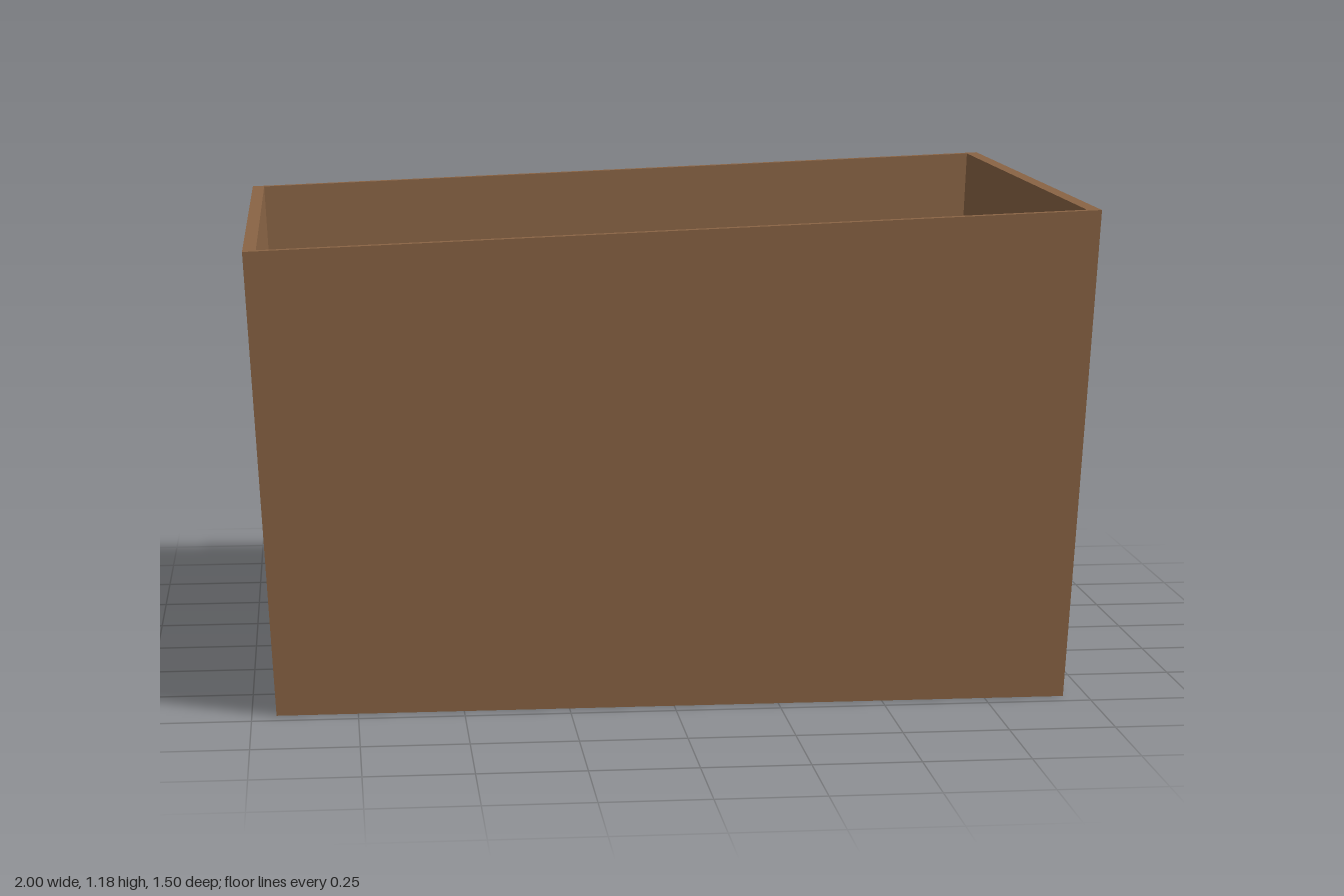
import * as THREE from 'three';

const HALF_X = 1, HALF_Z = 0.75;      // outer half sizes at the rim
const END_T = 0.031, SIDE_T = 0.022;  // wall thicknesses
const FLOOR_T = 0.04;                 // as a fraction of the height

// Straight box (y from 0 to 1) -> tapered box with a sloping rim
function warp(geometry) {
  const p = geometry.attributes.position;
  for (let i = 0; i < p.count; i++) {
    const x = p.getX(i), y = p.getY(i), z = p.getZ(i);
    p.setXYZ(i,
      x * THREE.MathUtils.lerp(0.942, 1, y),
      y * (1.1425 + 0.0375 * x),
      z * THREE.MathUtils.lerp(0.94, 1, y));
  }
  geometry.computeVertexNormals();
  return geometry;
}

// End panel with a rounded handle slot
function endPanel(side) {
  const shape = new THREE.Shape();
  shape.moveTo(-HALF_Z, 0);
  shape.lineTo(HALF_Z, 0);
  shape.lineTo(HALF_Z, 1);
  shape.lineTo(-HALF_Z, 1);
  shape.closePath();

  const slot = new THREE.Path();
  const half = 0.122, cy = 0.75, rx = 0.091, ry = 0.076;
  slot.absellipse(half, cy, rx, ry, -Math.PI / 2, Math.PI / 2, false);
  slot.absellipse(-half, cy, rx, ry, Math.PI / 2, Math.PI * 1.5, false);
  slot.closePath();
  shape.holes.push(slot);

  const g = new THREE.ExtrudeGeometry(shape, { depth: END_T, bevelEnabled: false, curveSegments: 3 });
  g.rotateY(side * Math.PI / 2);
  g.translate(side * (HALF_X - END_T), 0, 0);
  return warp(g);
}

export function createModel() {
  const model = new THREE.Group();
  model.name = 'storageBin';
  const brown = new THREE.MeshStandardMaterial({ color: 0x8b6545 });
  brown.name = 'brown';

  const add = (name, geometry) => {
    const mesh = new THREE.Mesh(geometry, brown);
    mesh.name = name;
    model.add(mesh);
  };

  // End walls with handles
  add('leftWall', endPanel(1));
  add('rightWall', endPanel(-1));

  // Front and back walls between the ends
  const innerX = 2 * (HALF_X - END_T);
  for (const [name, side] of [['frontWall', 1], ['backWall', -1]]) {
    const g = new THREE.BoxGeometry(innerX, 1, SIDE_T);
    g.translate(0, 0.5, side * (HALF_Z - SIDE_T / 2));
    add(name, warp(g));
  }

  // Floor inside the walls
  const floor = new THREE.BoxGeometry(innerX, FLOOR_T, 2 * (HALF_Z - SIDE_T));
  floor.translate(0, FLOOR_T / 2, 0);
  add('floor', warp(floor));

  return model;
}
